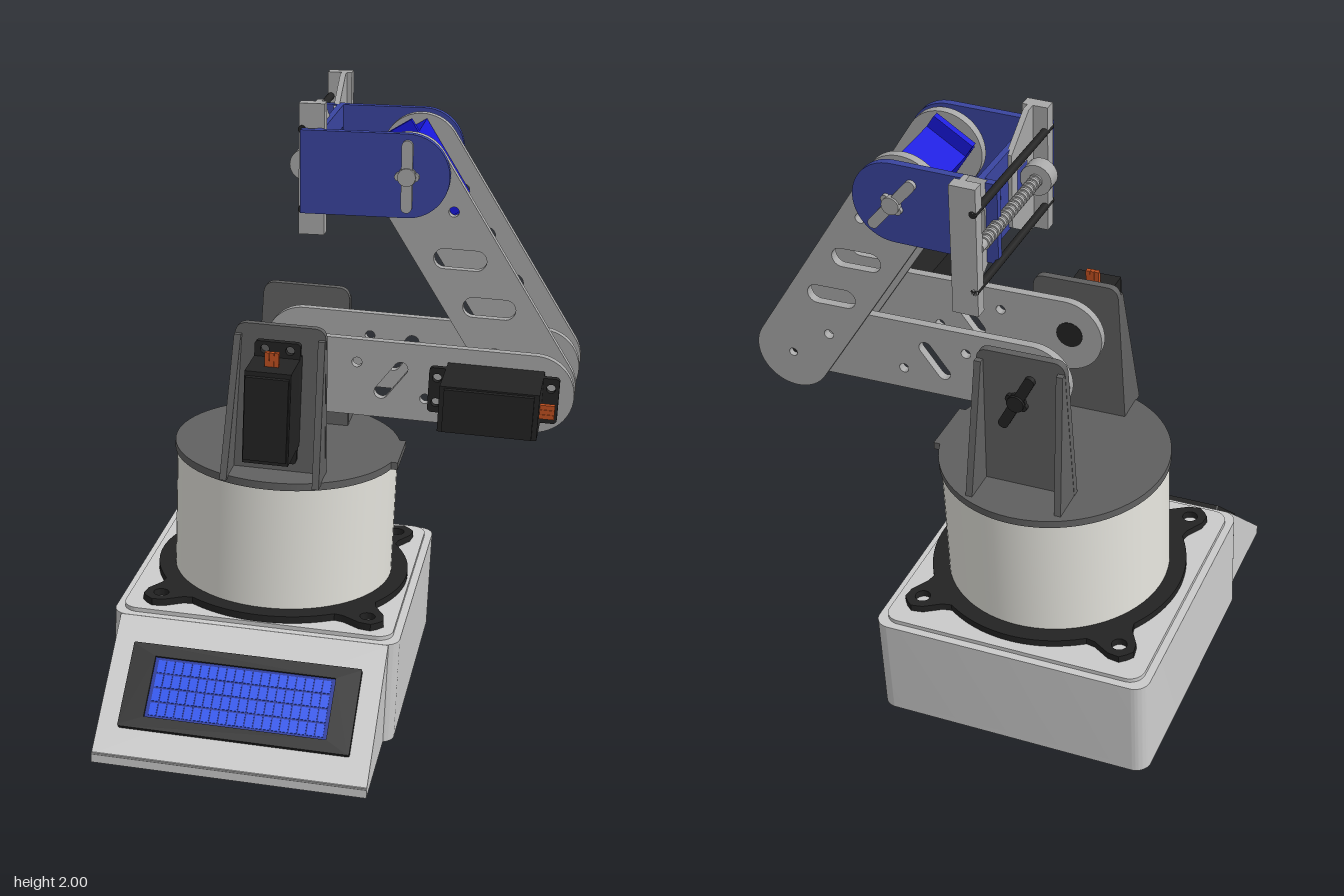
import * as THREE from 'three';
import { toCreasedNormals } from 'three/addons/utils/BufferGeometryUtils.js';

const mat = (color) => new THREE.MeshStandardMaterial({ color });
const M = {
  shell: mat(0xcccccc), turret: mat(0xe6e5de), link: mat(0xa8a8a8), dark: mat(0x606060), black: mat(0x232323),
  blue: mat(0x3a45a0), servoBlue: mat(0x1818dd), screen: mat(0x0a2a9a), cell: mat(0x2050f0),
  wire: mat(0xc05020), green: mat(0x0a5a10), label: mat(0x8a7a20),
};

function add(parent, name, geo, material, x = 0, y = 0, z = 0) {
  const m = new THREE.Mesh(geo, material);
  m.name = name;
  m.position.set(x, y, z);
  parent.add(m);
  return m;
}
function sub(parent, name, x = 0, y = 0, z = 0) {
  const g = new THREE.Group();
  g.name = name;
  g.position.set(x, y, z);
  parent.add(g);
  return g;
}
const box = (p, n, m, w, h, d, x, y, z) => add(p, n, new THREE.BoxGeometry(w, h, d), m, x, y, z);

// Extrusion centred on its thickness: 'z' faces z, 'y' lies flat, 'x' maps the profile to (z, y)
function slab(shape, t, facing = 'z') {
  const g = new THREE.ExtrudeGeometry(shape, { depth: t, bevelEnabled: false, curveSegments: 14 });
  g.translate(0, 0, -t / 2);
  if (facing === 'y') g.rotateX(-Math.PI / 2);
  if (facing === 'x') g.rotateY(-Math.PI / 2);
  return toCreasedNormals(g, 0.5);
}
const poly = (pts) => new THREE.Shape(pts.map(([x, y]) => new THREE.Vector2(x, y)));
const circle = (x, y, r) => new THREE.Path().absarc(x, y, r, 0, Math.PI * 2);

// Stadium outline with straight length len, end radius r, turned by a
function stadium(x, y, len, r, a, Type = THREE.Path) {
  const p = new Type(), dx = Math.cos(a) * len / 2, dy = Math.sin(a) * len / 2;
  p.absarc(x + dx, y + dy, r, a - Math.PI / 2, a + Math.PI / 2);
  p.absarc(x - dx, y - dy, r, a + Math.PI / 2, a + Math.PI * 1.5);
  p.closePath();
  return p;
}
function roundRect(w, h, r) {
  const s = new THREE.Shape(), a = w / 2 - r, b = h / 2 - r;
  [[a, b], [-a, b], [-a, -b], [a, -b]].forEach(([x, y], i) =>
    s.absarc(x, y, r, i * Math.PI / 2, (i + 1) * Math.PI / 2));
  s.closePath();
  return s;
}
const rod = (p, n, m, r, len, x, y, z) => {
  const g = new THREE.CylinderGeometry(r, r, len, 20);
  g.rotateX(Math.PI / 2);
  return add(p, n, g, m, x, y, z);
};

// Servo standing along y, its back facing +z
function servo(parent, name, x, y, z, depth) {
  const g = sub(parent, name, x, y, z);
  box(g, 'servoBody', M.black, 0.145, 0.3, depth, 0, 0, depth / 2);
  box(g, 'servoCap', M.black, 0.135, 0.27, 0.02, 0, 0, depth + 0.005);
  const tab = roundRect(0.145, 0.4, 0.012);
  for (const sx of [-1, 1]) for (const sy of [-1, 1]) tab.holes.push(circle(sx * 0.04, sy * 0.175, 0.014));
  add(g, 'servoTabs', slab(tab, 0.022), M.black, 0, 0, 0.05);
  for (const i of [-1, 0, 1]) box(g, 'servoWire', M.wire, 0.014, 0.05, 0.016, i * 0.015, 0.17, depth * 0.7);
  rod(g, 'servoShaft', M.black, 0.045, 0.1, 0, 0.08, -0.02);
  return g;
}

// Two crossed arms and a hub, facing z
function horn(parent, material, x, y, z, a) {
  const g = sub(parent, 'servoHorn', x, y, z);
  g.rotation.z = a;
  add(g, 'hornArm', slab(stadium(0, 0, 0.19, 0.017, Math.PI / 2, THREE.Shape), 0.016), material);
  add(g, 'hornCrossArm', slab(stadium(0, 0, 0.05, 0.013, 0, THREE.Shape), 0.016), material);
  rod(g, 'hornHub', material, 0.028, 0.03, 0, 0, 0);
}

function buildBase(root) {
  const g = sub(root, 'base', -0.09, 0, -0.195);
  add(g, 'baseBox', slab(roundRect(0.93, 0.93, 0.05), 0.33, 'y'), M.shell, 0, 0.185, 0);
  const floor = roundRect(0.93, 0.93, 0.05);
  for (const sx of [-1, 1]) for (const sy of [-1, 1])
    for (const [x, y] of [[0.35, 0.36], [0.3, 0.27], [0.14, 0.33]]) floor.holes.push(circle(sx * x, sy * y, 0.022));
  add(g, 'baseFloor', slab(floor, 0.02, 'y'), M.shell, 0, 0.01, 0);
  add(g, 'baseLid', slab(roundRect(0.88, 0.88, 0.05), 0.014, 'y'), M.shell, 0, 0.357, 0);

  // Ring flange with four screw ears
  const pts = [];
  for (let i = 0; i < 128; i++) {
    const t = i / 128 * Math.PI * 2, d = (t % (Math.PI / 2)) - Math.PI / 4;
    const r = 0.42 + 0.115 * Math.exp(-Math.pow(d / 0.13, 4));
    pts.push([r * Math.cos(t), r * Math.sin(t)]);
  }
  const ring = poly(pts);
  for (const sx of [-1, 1]) for (const sy of [-1, 1]) ring.holes.push(circle(sx * 0.34, sy * 0.34, 0.025));
  add(root, 'ringFlange', slab(ring, 0.025, 'y'), M.black, -0.08, 0.375, -0.18);

  // Sloped display housing, open underneath
  for (const x of [-0.515, 0.335])
    add(root, 'housingSide', slab(poly([[0.26, 0], [0.61, 0], [0.61, 0.03], [0.27, 0.345], [0.26, 0.345]]), 0.02, 'x'), M.shell, x, 0, 0);
  box(root, 'housingLip', M.shell, 0.87, 0.035, 0.02, -0.09, 0.0175, 0.603);
  const d = sub(root, 'display', -0.09, 0.19, 0.4425);
  d.rotation.x = -0.823;
  box(d, 'displayPanel', M.shell, 0.87, 0.47, 0.022, 0, 0, -0.011);
  const bezel = roundRect(0.735, 0.28, 0.005);
  bezel.holes.push(poly([[-0.29, -0.1], [0.29, -0.1], [0.29, 0.1], [-0.29, 0.1]]));
  add(d, 'displayBezel', slab(bezel, 0.024), M.black, 0, 0, 0.008);
  box(d, 'displayScreen', M.screen, 0.58, 0.2, 0.012, 0, 0, 0.004);
  for (let i = 0; i < 20; i++) for (let j = 0; j < 4; j++)
    box(d, 'displayCell', M.cell, 0.024, 0.041, 0.004, (i - 9.5) * 0.028, (j - 1.5) * 0.047, 0.011);
  box(d, 'circuitBoard', M.green, 0.7, 0.3, 0.012, 0, 0, -0.045);
  for (const x of [-0.12, 0.12]) rod(d, 'boardPart', M.black, 0.035, 0.03, x, 0, -0.06);
}

function buildTurret(root) {
  const g = sub(root, 'turret', -0.08, 0, -0.18);
  add(g, 'turretDrum', new THREE.CylinderGeometry(0.365, 0.365, 0.43, 72), M.turret, 0, 0.59, 0);
  add(g, 'turretDisc', new THREE.CylinderGeometry(0.372, 0.372, 0.025, 72), M.dark, 0, 0.815, 0);
  box(g, 'discTab', M.dark, 0.06, 0.025, 0.2, 0.35, 0.815, 0);

  // Facing uprights with sloped gussets on their outer sides
  for (const [z, turn] of [[0.07, 0], [-0.375, Math.PI]]) {
    const u = sub(root, 'upright', -0.07, 0.82, z);
    u.rotation.y = turn;
    const s = new THREE.Shape();
    s.moveTo(-0.16, 0);
    s.lineTo(0.16, 0);
    s.lineTo(0.145, 0.45);
    s.quadraticCurveTo(0.143, 0.49, 0.105, 0.49);
    s.lineTo(-0.105, 0.49);
    s.quadraticCurveTo(-0.143, 0.49, -0.145, 0.45);
    s.closePath();
    add(u, 'uprightPlate', slab(s, 0.025), M.dark);
    for (const k of [-1, 1]) {
      const f = add(u, 'uprightGusset', slab(poly([[0, 0], [0.125, 0], [0.03, 0.455], [0, 0.455]]), 0.022, 'x'), M.dark, k * 0.148, 0, 0);
      f.rotation.z = k * 0.033;
    }
  }
}

function buildArm(root) {
  const shoulder = [-0.055, 1.145], elbow = [0.72, 1.145], wrist = [0.285, 1.79];
  const dx = wrist[0] - elbow[0], dy = wrist[1] - elbow[1];
  const a = Math.atan2(dy, dx), len = Math.hypot(dx, dy);

  const arm = (name, from, length, angle, z, holes) => {
    const s = stadium(length / 2, 0, length, 0.125, 0, THREE.Shape);
    s.holes.push(...holes);
    const m = add(root, name, slab(s, 0.028), M.link, from[0], from[1], z);
    m.rotation.z = angle;
  };
  for (const z of [0.01, -0.26])
    arm('lowerLink', shoulder, 0.775, 0, z, [stadium(0.33, 0, 0.1, 0.022, 0.95),
      circle(0, 0, 0.014), circle(0.22, 0.05, 0.016), circle(0.44, -0.05, 0.016), circle(0.775, 0, 0.014)]);
  for (const z of [-0.065, -0.36])
    arm('upperLink', elbow, len, a, z, [stadium(len * 0.37, 0, 0.1, 0.032, -a), stadium(len * 0.6, 0, 0.1, 0.032, -a),
      circle(0, 0, 0.014), circle(len * 0.78, -0.06, 0.016), circle(len * 0.2, 0.06, 0.016)]);

  // Joint servos and pins
  servo(root, 'shoulderServo', -0.07, 1.07, 0.065, 0.205);
  servo(root, 'elbowServo', 0.6, 1.15, 0.025, 0.22).rotation.z = -Math.PI / 2;
  rod(root, 'shoulderPin', M.black, 0.03, 0.14, shoulder[0], shoulder[1], -0.33);
  rod(root, 'elbowPin', M.black, 0.025, 0.09, elbow[0], elbow[1], -0.31);
  horn(root, M.black, shoulder[0], shoulder[1], -0.395, 0.5);
  horn(root, M.black, elbow[0], elbow[1], -0.042, 0.6);

  // Wrist servo between the upper links
  const ws = sub(root, 'wristServo', wrist[0], wrist[1], -0.215);
  ws.rotation.z = a - Math.PI / 2;
  box(ws, 'wristServoBody', M.servoBlue, 0.145, 0.27, 0.25, 0, -0.05, 0);
  box(ws, 'wristServoTabs', M.servoBlue, 0.145, 0.36, 0.022, 0, -0.05, 0.07);
  box(ws, 'wristServoLabel', M.label, 0.004, 0.13, 0.08, 0.074, -0.06, 0);
  rod(ws, 'wristShaft', M.link, 0.03, 0.42, 0, 0, 0);
  buildWrist(sub(root, 'wrist', wrist[0], wrist[1], 0));
}

function buildWrist(g) {
  g.rotation.z = 0.036;
  // Blue cheek plates carrying the gripper
  const cheek = new THREE.Shape();
  cheek.moveTo(0, 0.13);
  cheek.lineTo(-0.33, 0.13);
  cheek.lineTo(-0.33, -0.13);
  cheek.lineTo(0, -0.13);
  cheek.absarc(0, 0, 0.13, -Math.PI / 2, Math.PI / 2);
  for (const z of [-0.025, -0.42]) add(g, 'wristCheek', slab(cheek, 0.024), M.blue, 0, 0, z);
  horn(g, M.link, 0, 0, -0.008, 0);
  horn(g, M.link, 0, 0, -0.437, 0.7);

  // Gripper back plate with a window, profile in (z, y)
  const back = poly([[-0.44, -0.13], [-0.02, -0.13], [-0.02, 0.13], [-0.44, 0.13]]);
  back.holes.push(poly([[-0.4, -0.06], [-0.3, -0.06], [-0.3, 0.06], [-0.4, 0.06]]));
  add(g, 'gripperBack', slab(back, 0.02, 'x'), M.blue, -0.272, 0, 0);

  // Jaws: tall outer slab and a tapering plate towards the middle
  for (const [z, k] of [[-0.065, -1], [-0.58, 1]]) {
    const j = sub(g, 'jaw', -0.3, 0, z);
    box(j, 'jawPad', M.link, 0.08, 0.41, 0.04, 0, 0, 0);
    const s = poly([[0, -0.205], [k * 0.05, -0.205], [k * 0.18, -0.12], [k * 0.18, 0.12], [k * 0.05, 0.205], [0, 0.205]]);
    s.holes.push(poly([[k * 0.07, -0.05], [k * 0.14, -0.05], [k * 0.14, 0.05], [k * 0.07, 0.05]]));
    add(j, 'jawPlate', slab(s, 0.018, 'x'), M.link, 0.015, 0, 0);
  }

  // Guide rods, lead screw and its knob
  for (const y of [-0.125, 0.125]) rod(g, 'guideRod', M.black, 0.012, 0.56, -0.33, y, -0.32);
  rod(g, 'leadScrew', M.link, 0.016, 0.45, -0.33, 0, -0.34);
  for (let i = 0; i < 18; i++) rod(g, 'screwThread', M.link, 0.021, 0.01, -0.33, 0, -0.53 + i * 0.022);
  rod(g, 'screwKnob', M.link, 0.05, 0.05, -0.33, 0, -0.13);
}

export function createModel() {
  const model = new THREE.Group();
  model.name = 'robotArm';
  const root = sub(model, 'robotArmBody', 0, 0.02, 0);
  // Turned towards the left corner, with a slight lean
  root.rotation.set(0, 0.669, -0.036, 'YXZ');
  buildBase(root);
  buildTurret(root);
  buildArm(root);
  return model;
}
